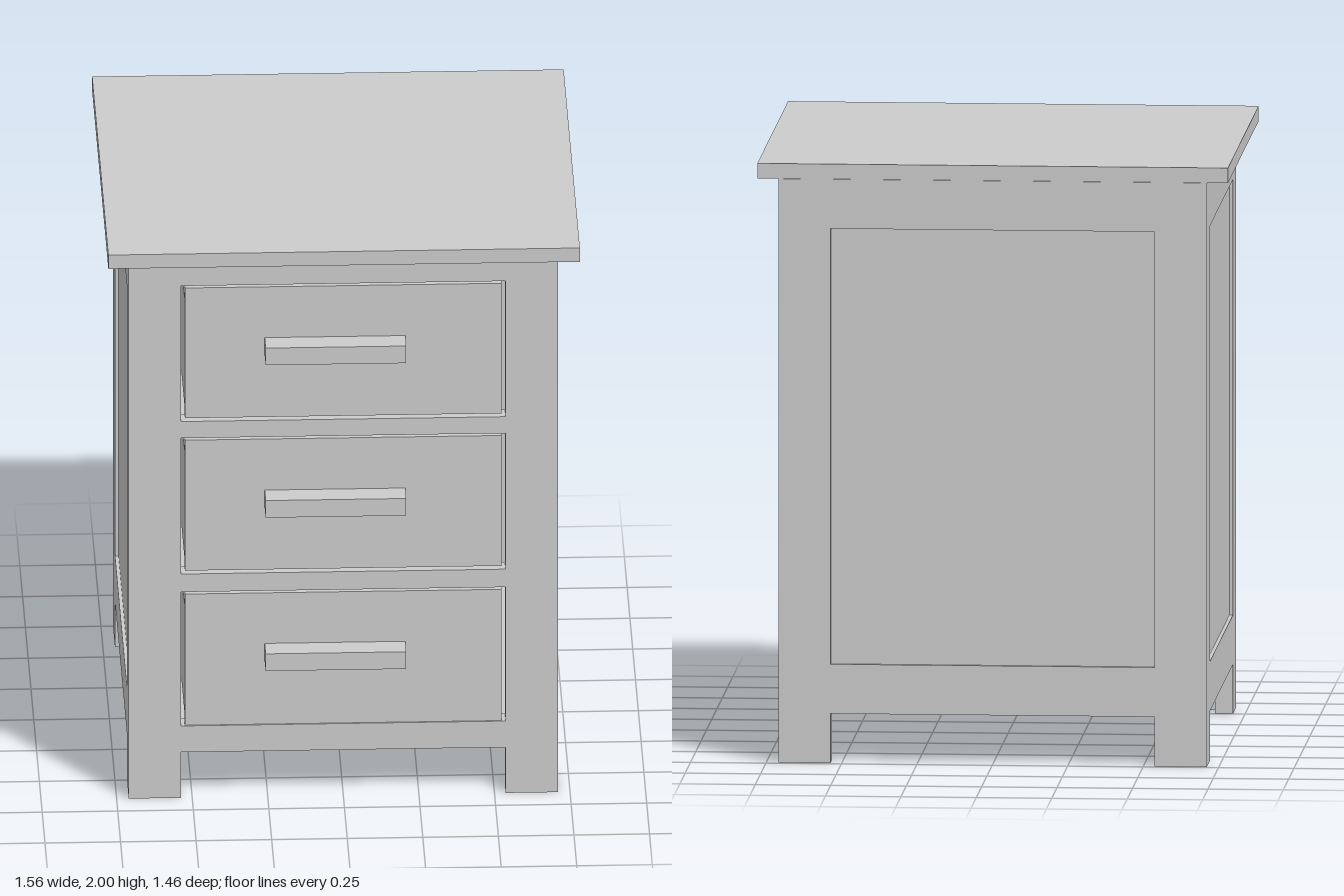
import * as THREE from 'three';

const grey = new THREE.MeshStandardMaterial({ color: 0xcccccc });
grey.name = 'plain grey';

const T = 0.06; // board thickness
const BODY = { x: 0.71, front: 0.65, back: -0.733, bottom: 0.165, top: 1.95 };
const INSET = 0.012; // how far panels sit behind their frames

function add(parent, geometry, name) {
  const mesh = new THREE.Mesh(geometry, grey);
  mesh.name = name;
  parent.add(mesh);
  return mesh;
}

// Box given by its limits on each axis
function box(parent, name, [x0, x1], [y0, y1], [z0, z1]) {
  const mesh = add(parent, new THREE.BoxGeometry(x1 - x0, y1 - y0, z1 - z0), name);
  mesh.position.set((x0 + x1) / 2, (y0 + y1) / 2, (z0 + z1) / 2);
  return mesh;
}

// Upright frame with two feet (notch from n0 to n1) and rectangular openings
function frame(parent, name, u0, u1, n0, n1, openings) {
  const outline = [
    [u0, 0], [n0, 0], [n0, BODY.bottom], [n1, BODY.bottom], [n1, 0],
    [u1, 0], [u1, BODY.top], [u0, BODY.top],
  ];
  const shape = new THREE.Shape(outline.map(([u, v]) => new THREE.Vector2(u, v)));
  for (const [y0, y1] of openings) {
    const corners = [[n0, y0], [n0, y1], [n1, y1], [n1, y0]];
    shape.holes.push(new THREE.Path(corners.map(([u, v]) => new THREE.Vector2(u, v))));
  }
  return add(parent, new THREE.ExtrudeGeometry(shape, { depth: T, bevelEnabled: false }), name);
}

export function createModel() {
  const model = new THREE.Group();
  model.name = 'bedsideCabinet';
  const openX = 0.537;
  const panelY = [0.33, 1.785];
  const drawers = [
    { open: [0.26, 0.745], face: [0.26, 0.735], handle: [0.49, 0.552] },
    { open: [0.81, 1.302], face: [0.82, 1.292], handle: [1.045, 1.107] },
    { open: [1.362, 1.853], face: [1.372, 1.843], handle: [1.597, 1.659] },
  ];

  // Overhanging top and the floor
  box(model, 'top', [-0.78, 0.78], [BODY.top, 2], [-0.729, 0.72]);
  box(model, 'floor', [-BODY.x + T, BODY.x - T], [BODY.bottom, BODY.bottom + 0.04],
    [BODY.back + T, BODY.front - T]);

  // Front and back frames
  frame(model, 'frontFrame', -BODY.x, BODY.x, -openX, openX, drawers.map((d) => d.open))
    .position.z = BODY.front - T;
  frame(model, 'backFrame', -BODY.x, BODY.x, -openX, openX, [panelY]).position.z = BODY.back;
  box(model, 'backPanel', [-openX, openX], panelY, [BODY.back + INSET, BODY.back + T - 0.01]);

  // Side frames between them, with recessed panels
  for (const [name, side] of [['left', 1], ['right', -1]]) {
    const sideFrame = frame(model, name + 'Frame', -BODY.front + T, -BODY.back - T, -0.505, 0.58, [panelY]);
    sideFrame.rotation.y = Math.PI / 2;
    sideFrame.position.x = side > 0 ? BODY.x - T : -BODY.x;
    const xs = [side * (BODY.x - INSET), side * (BODY.x - T + 0.01)].sort((a, b) => a - b);
    box(model, name + 'Panel', xs, panelY, [-0.58, 0.505]);
  }

  // Drawers: face, tray boards and bar handle
  drawers.forEach(({ face, handle }, i) => {
    const drawer = new THREE.Group();
    drawer.name = 'drawer' + (i + 1);
    model.add(drawer);
    const x = 0.524;
    const z1 = BODY.front - 0.005;
    const z0 = z1 - 0.05;
    const trayY = [face[0] + 0.03, face[1] - 0.06];
    box(drawer, 'drawerFace', [-x, x], face, [z0, z1]);
    box(drawer, 'trayFloor', [-x + 0.03, x - 0.03], [trayY[0], trayY[0] + 0.02], [-0.55, z0]);
    box(drawer, 'trayBack', [-x + 0.03, x - 0.03], trayY, [-0.58, -0.55]);
    box(drawer, 'trayLeft', [x - 0.03, x], trayY, [-0.58, z0]);
    box(drawer, 'trayRight', [-x, -x + 0.03], trayY, [-0.58, z0]);
    box(drawer, 'handle', [-0.26, 0.205], handle, [z1, 0.73]);
  });

  return model;
}
